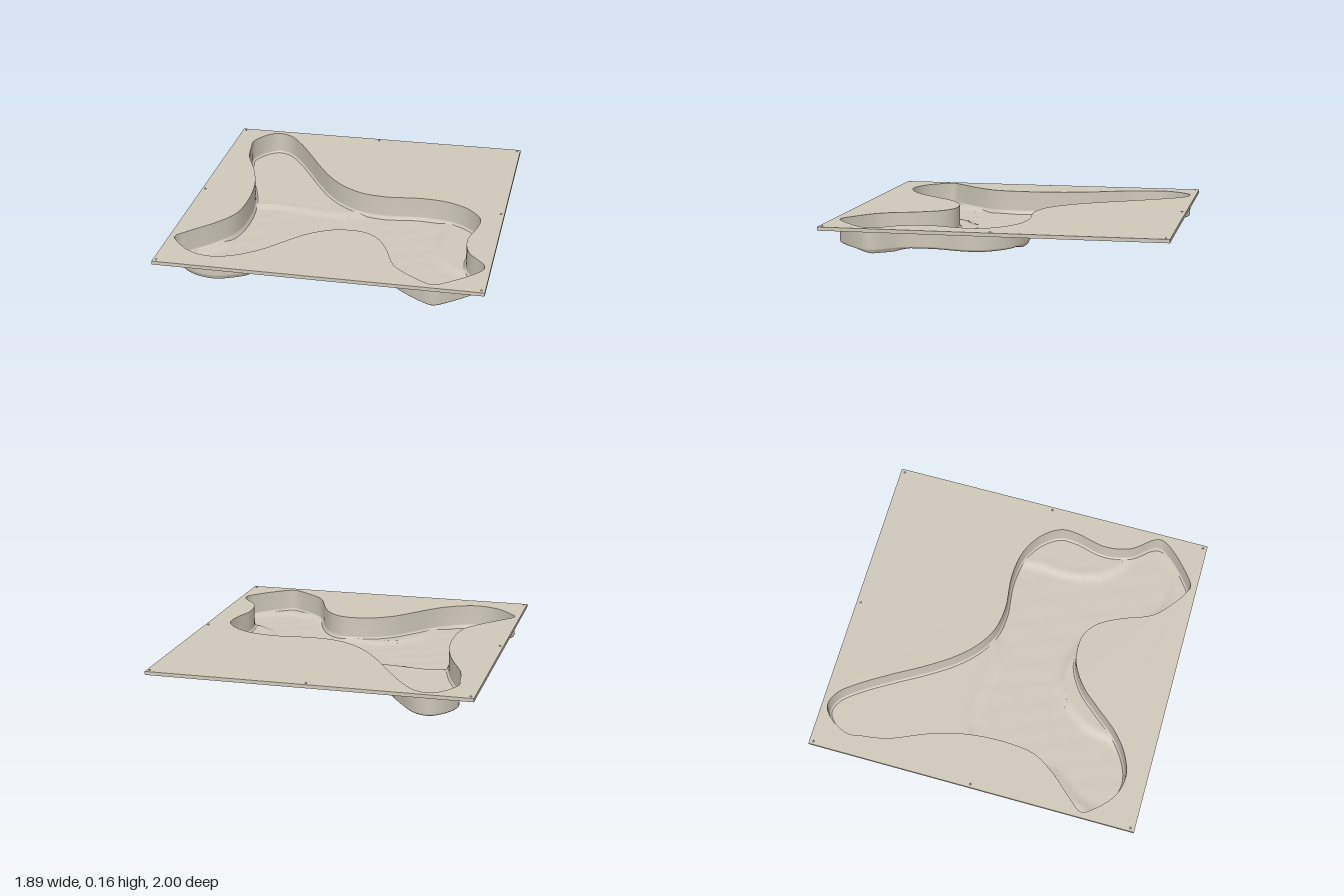
import * as THREE from 'three';
import { mergeVertices } from 'three/addons/utils/BufferGeometryUtils.js';

const TOP = 0.152, HALF_X = 0.945, HALF_Z = 1;

// Basin outline as x, z pairs, clockwise seen from above
const OUTLINE = [
  -0.69, -0.965, -0.60, -0.935, -0.50, -0.815, -0.39, -0.64, -0.29, -0.47, -0.18, -0.31,
  -0.07, -0.20, 0.05, -0.13, 0.20, -0.105, 0.43, -0.125, 0.60, -0.10, 0.73, -0.025,
  0.81, 0.09, 0.81, 0.195, 0.77, 0.38, 0.80, 0.54, 0.90, 0.67, 0.91, 0.72,
  0.865, 0.79, 0.73, 0.915, 0.655, 0.96, 0.60, 0.94, 0.43, 0.81, 0.39, 0.75,
  0.33, 0.595, 0.255, 0.465, 0.165, 0.40, 0.085, 0.39, -0.02, 0.405, -0.155, 0.485,
  -0.26, 0.60, -0.38, 0.74, -0.50, 0.83, -0.63, 0.872, -0.76, 0.84, -0.88, 0.73,
  -0.912, 0.67, -0.86, 0.60, -0.72, 0.44, -0.645, 0.315, -0.62, 0.135, -0.635, -0.105,
  -0.69, -0.315, -0.785, -0.545, -0.805, -0.635, -0.815, -0.715, -0.825, -0.79, -0.77, -0.905,
];

// Slightly deeper, rippled part of the floor
const RECESS = [
  -0.6, -0.1, -0.3, -0.09, -0.1, -0.07, 0.05, -0.11, 0.2, -0.2, 0.5, -0.2, 0.58, -0.05,
  0.57, 0.2, 0.62, 0.4, 0.72, 0.52, 0.86, 0.58, 0.95, 0.66, 0.8, 0.8, 0.65, 0.85,
  0.5, 0.82, 0.38, 0.7, 0.25, 0.46, 0.1, 0.36, -0.1, 0.33, -0.25, 0.41, -0.37, 0.58,
  -0.42, 0.78, -0.6, 0.95, -0.85, 0.85, -0.8, 0.62, -0.68, 0.45, -0.7, 0.1,
];

// Closed smooth curve through the pairs; returned points hold (x, z)
function smoothLoop(pairs, count) {
  const pts = [];
  for (let i = 0; i < pairs.length; i += 2) pts.push(new THREE.Vector3(pairs[i], pairs[i + 1], 0));
  const curve = new THREE.CatmullRomCurve3(pts, true, 'centripetal');
  return curve.getSpacedPoints(count).slice(0, count).map((p) => new THREE.Vector2(p.x, p.y));
}

// Signed distance to a loop, positive inside
function insideDistance(loop, x, z) {
  let best = Infinity, inside = false;
  loop.forEach((a, i) => {
    const b = loop[(i + 1) % loop.length];
    const dx = b.x - a.x, dz = b.y - a.y;
    const t = THREE.MathUtils.clamp(((x - a.x) * dx + (z - a.y) * dz) / (dx * dx + dz * dz), 0, 1);
    best = Math.min(best, Math.hypot(x - a.x - t * dx, z - a.y - t * dz));
    if ((a.y > z) !== (b.y > z) && x < a.x + ((z - a.y) / dz) * dx) inside = !inside;
  });
  return inside ? best : -best;
}

function geometryFrom(positions, index) {
  let geo = new THREE.BufferGeometry();
  geo.setAttribute('position', new THREE.Float32BufferAttribute(positions, 3));
  if (index) geo.setIndex(index);
  else geo = mergeVertices(geo, 1e-5);
  geo.computeVertexNormals();
  return geo;
}

export function createModel() {
  const group = new THREE.Group();
  const stone = new THREE.MeshStandardMaterial({ color: 0xcfc9ba, side: THREE.DoubleSide });
  stone.name = 'warm grey';
  const add = (name, geo) => {
    const mesh = new THREE.Mesh(geo, stone);
    mesh.name = name;
    group.add(mesh);
    return mesh;
  };

  const rim = smoothLoop(OUTLINE, 240);
  const n = rim.length;
  const recess = smoothLoop(RECESS, 90);
  const floorHeight = (x, z) => {
    const d = insideDistance(recess, x, z);
    const deep = THREE.MathUtils.smoothstep(d, -0.03, 0.03);
    const ridge = 0.003 * Math.exp(-((d + 0.03) ** 2) / 0.0006);
    const ripple = 0.0012 * Math.sin(31 * x + 9 * z) * Math.sin(27 * z - 12 * x);
    return 0.014 - 0.0125 * deep + ridge + deep * ripple;
  };

  // Inset outline where the rounded wall foot meets the floor
  const inset = (amount) => rim.map((p, i) => {
    const t = rim[(i + 1) % n].clone().sub(rim[(i + n - 1) % n]).normalize();
    return new THREE.Vector2(p.x - t.y * amount, p.y + t.x * amount);
  });
  const foot = inset(0.012);

  // Flat top sheet with the basin opening
  const rectangle = (hx, hz, Type) => new Type([
    new THREE.Vector2(-hx, -hz), new THREE.Vector2(hx, -hz),
    new THREE.Vector2(hx, hz), new THREE.Vector2(-hx, hz)]);
  const deck = rectangle(HALF_X, HALF_Z, THREE.Shape);
  deck.holes.push(new THREE.Path(rim.map((p) => new THREE.Vector2(p.x, -p.y))));
  add('deck', new THREE.ShapeGeometry(deck).rotateX(-Math.PI / 2).translate(0, TOP, 0));

  // Narrow lip turned down around the sheet
  const lip = rectangle(HALF_X, HALF_Z, THREE.Shape);
  lip.holes.push(rectangle(HALF_X - 0.008, HALF_Z - 0.008, THREE.Path));
  add('edgeLip', new THREE.ExtrudeGeometry(lip, { depth: 0.021, bevelEnabled: false })
    .rotateX(-Math.PI / 2).translate(0, TOP - 0.0215, 0));

  // Basin wall, lofted from the opening to the rounded foot
  const rings = [
    [rim, () => TOP],
    [rim, () => 0.028],
    [inset(0.004), () => 0.02],
    [foot, floorHeight],
  ];
  const wall = [], wallIndex = [];
  rings.forEach(([loop, height], r) => loop.forEach((p, i) => {
    wall.push(p.x, height(p.x, p.y), p.y);
    if (r === rings.length - 1) return;
    const a = r * n + i, b = r * n + ((i + 1) % n);
    wallIndex.push(a, a + n, b, b, a + n, b + n);
  }));
  add('basinWall', geometryFrom(wall, wallIndex));

  // Basin floor: split long edges until fine enough, then raise by the relief rule
  const floor = [];
  const emit = (a, b, c) => {
    const sides = [a.distanceTo(b), b.distanceTo(c), c.distanceTo(a)];
    const longest = Math.max(...sides);
    if (longest > 0.04) {
      const k = sides.indexOf(longest);
      const [p, q, r] = [[a, b, c], [b, c, a], [c, a, b]][k];
      const mid = p.clone().add(q).multiplyScalar(0.5);
      emit(p, mid, r);
      emit(mid, q, r);
      return;
    }
    for (const p of [a, b, c]) floor.push(p.x, floorHeight(p.x, p.y), p.y);
  };
  for (const [i, j, k] of THREE.ShapeUtils.triangulateShape(foot, [])) {
    const a = foot[i], b = foot[j], c = foot[k];
    const up = (b.y - a.y) * (c.x - a.x) - (b.x - a.x) * (c.y - a.y) > 0;
    if (up) emit(a, b, c);
    else emit(a, c, b);
  }
  add('basinFloor', geometryFrom(floor));

  // Tiny locating studs along the border
  const stud = new THREE.SphereGeometry(0.006, 10, 5, 0, Math.PI * 2, 0, Math.PI / 2);
  for (const x of [-0.925, 0, 0.925]) {
    for (const z of [-0.975, 0, 0.975]) {
      if (x === 0 && z >= 0) continue;
      add('stud', stud).position.set(x, TOP, z);
    }
  }
  return group;
}
